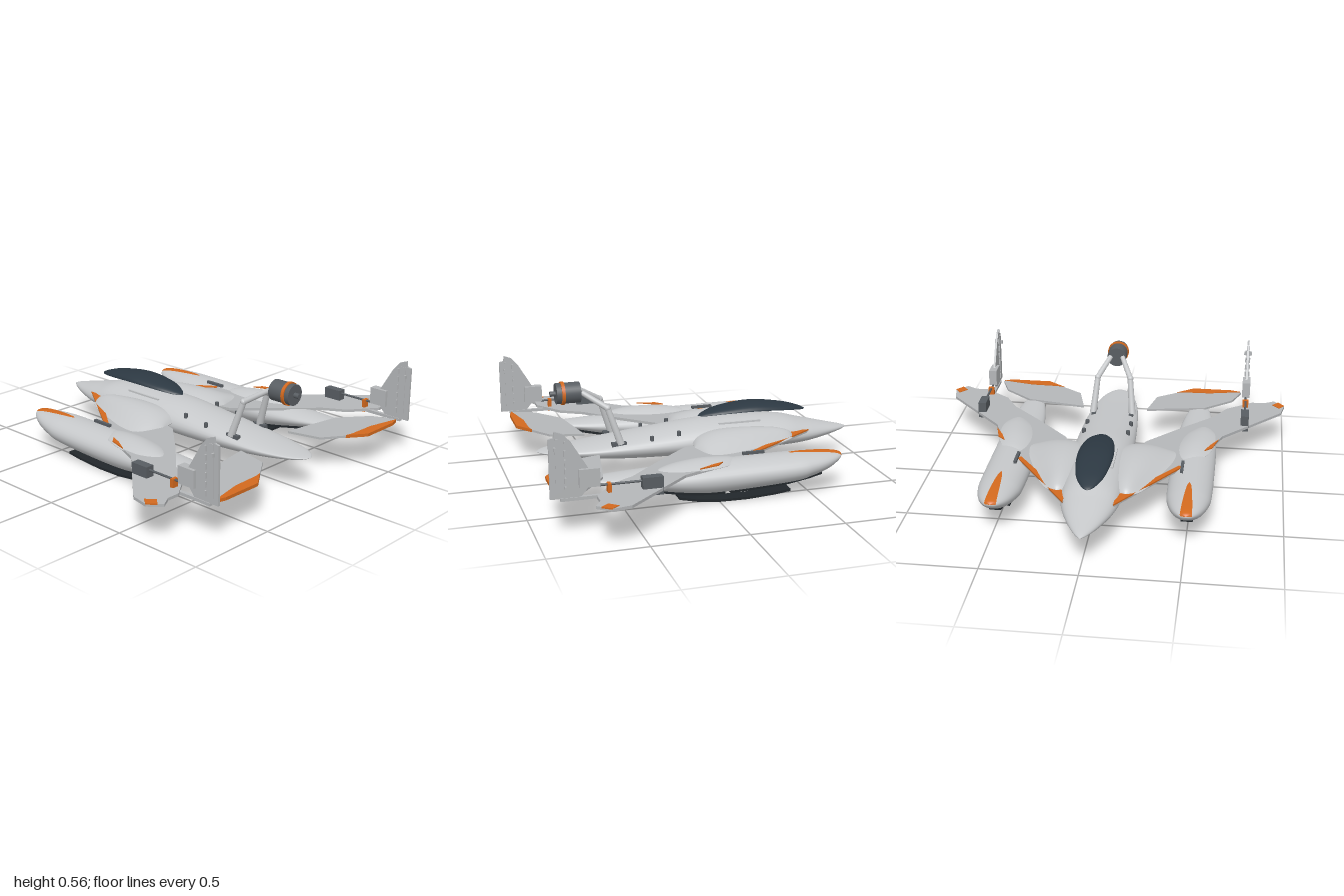
import * as THREE from 'three';

const mat = (name, color, side = THREE.FrontSide) => {
  const m = new THREE.MeshStandardMaterial({ color, side });
  m.name = name;
  return m;
};

// Catmull-Rom sampling of stations [x, halfWidth, top, bottom, mid, zCentre]
function sample(st, sub = 5) {
  const rows = [], last = st.length - 1;
  for (let i = 0; i < last; i++) {
    const p = [st[Math.max(i - 1, 0)], st[i], st[i + 1], st[Math.min(i + 2, last)]];
    for (let k = 0; k < sub; k++) {
      const t = k / sub;
      rows.push(p[0].map((_, c) => 0.5 * (2 * p[1][c] + (p[2][c] - p[0][c]) * t
        + (2 * p[0][c] - 5 * p[1][c] + 4 * p[2][c] - p[3][c]) * t * t
        + (3 * p[1][c] - p[0][c] - 3 * p[2][c] + p[3][c]) * t * t * t)));
    }
  }
  rows.push(st[last]);
  return rows;
}

function grid(pos, rows, cols, closed) {
  const idx = [];
  for (let i = 0; i < rows - 1; i++) {
    for (let j = 0; j < (closed ? cols : cols - 1); j++) {
      const a = i * cols + j, b = i * cols + (j + 1) % cols;
      idx.push(a, a + cols, b, b, a + cols, b + cols);
    }
  }
  const g = new THREE.BufferGeometry();
  g.setAttribute('position', new THREE.Float32BufferAttribute(pos, 3));
  g.setIndex(idx);
  g.computeVertexNormals();
  return g;
}

// Closed body along x; power shapes the upper half (1 = ellipse)
function loft(st, side = 1, power = 1, n = 32) {
  const rows = sample(st), pos = [];
  for (const [x, w, top, bot, mid, zc] of rows) {
    for (let j = 0; j < n; j++) {
      const a = j / n * Math.PI * 2, s = Math.sin(a);
      const y = s > 0 ? mid + (top - mid) * s ** power : mid + (mid - bot) * s;
      pos.push(x, y, zc * side + Math.max(w, 0) * Math.cos(a));
    }
  }
  return grid(pos, rows.length, n, true);
}

// Painted patch lying on top of a loft, between two x values
function topPatch(st, side, x0, x1, width) {
  const rows = sample(st, 10).filter(r => r[0] >= x0 && r[0] <= x1), pos = [], n = 9;
  for (const [x, w, top, , mid, zc] of rows) {
    const hw = Math.min(w, width * Math.sqrt(Math.max(0, 1 - (x - x0) / (x1 - x0))));
    for (let j = 0; j < n; j++) {
      const dz = hw * (1 - 2 * j / (n - 1));
      const u = w > 0 ? dz / w : 0;
      pos.push(x, mid + (top - mid) * Math.sqrt(Math.max(0, 1 - u * u)) + 0.003, zc * side + dz);
    }
  }
  return grid(pos, rows.length, n, false);
}

// Horizontal plate from [x, z] points; upright plate from [x, y] points
function flat(pts, side, y, thick) {
  const s = new THREE.Shape(pts.map(([x, z]) => new THREE.Vector2(x, -z * side)));
  return new THREE.ExtrudeGeometry(s, { depth: thick, bevelEnabled: false }).rotateX(-Math.PI / 2).translate(0, y, 0);
}
function upright(pts, z, thick) {
  const s = new THREE.Shape(pts.map(p => new THREE.Vector2(...p)));
  return new THREE.ExtrudeGeometry(s, { depth: thick, bevelEnabled: false }).translate(0, 0, z - thick / 2);
}
const box = (x0, x1, y0, y1, z, d) =>
  new THREE.BoxGeometry(x1 - x0, y1 - y0, d).translate((x0 + x1) / 2, (y0 + y1) / 2, z);
function rod(a, b, r, r2 = r, n = 20) {
  const A = new THREE.Vector3(...a), B = new THREE.Vector3(...b), d = B.clone().sub(A);
  const q = new THREE.Quaternion().setFromUnitVectors(new THREE.Vector3(0, 1, 0), d.clone().normalize());
  return new THREE.CylinderGeometry(r2, r, d.length(), n).applyQuaternion(q).translate(...A.add(B).multiplyScalar(0.5).toArray());
}

const FUSELAGE = [
  [-0.94, 0, 0.172, 0.172, 0.172, 0], [-0.9, 0.033, 0.187, 0.158, 0.172, 0], [-0.8, 0.084, 0.21, 0.138, 0.174, 0],
  [-0.65, 0.138, 0.247, 0.118, 0.178, 0], [-0.48, 0.162, 0.285, 0.11, 0.185, 0], [-0.1, 0.168, 0.295, 0.108, 0.19, 0],
  [0.15, 0.163, 0.272, 0.11, 0.19, 0], [0.4, 0.15, 0.242, 0.12, 0.19, 0], [0.6, 0.128, 0.218, 0.14, 0.188, 0],
  [0.75, 0.09, 0.203, 0.162, 0.188, 0], [0.83, 0.046, 0.195, 0.178, 0.188, 0], [0.86, 0, 0.188, 0.188, 0.188, 0]];
const POD = [
  [-0.69, 0, 0.185, 0.185, 0.185, 0.5], [-0.67, 0.038, 0.2, 0.16, 0.18, 0.5], [-0.6, 0.078, 0.21, 0.118, 0.168, 0.5],
  [-0.5, 0.106, 0.217, 0.088, 0.155, 0.5], [-0.38, 0.119, 0.22, 0.068, 0.145, 0.5], [0, 0.121, 0.217, 0.052, 0.14, 0.5],
  [0.2, 0.117, 0.212, 0.07, 0.145, 0.5], [0.4, 0.1, 0.204, 0.11, 0.16, 0.5], [0.55, 0.076, 0.198, 0.145, 0.172, 0.5],
  [0.66, 0.046, 0.192, 0.168, 0.18, 0.5], [0.72, 0, 0.182, 0.182, 0.182, 0.5]];
const SHOULDER = [
  [-0.54, 0, 0.21, 0.21, 0.21, 0.18], [-0.51, 0.06, 0.238, 0.2, 0.208, 0.18], [-0.42, 0.115, 0.262, 0.19, 0.206, 0.18],
  [-0.25, 0.185, 0.277, 0.185, 0.205, 0.19], [-0.1, 0.222, 0.272, 0.185, 0.205, 0.2], [0, 0.19, 0.245, 0.19, 0.205, 0.22],
  [0.05, 0, 0.208, 0.208, 0.208, 0.25]];
const FAIRING = [
  [-0.12, 0, 0.208, 0.208, 0.208, 0.46], [-0.05, 0.07, 0.225, 0.2, 0.206, 0.49], [0.08, 0.098, 0.236, 0.195, 0.206, 0.51],
  [0.22, 0.088, 0.23, 0.198, 0.206, 0.53], [0.31, 0.045, 0.216, 0.2, 0.206, 0.54], [0.34, 0, 0.208, 0.208, 0.208, 0.54]];
const CANOPY = [
  [-0.68, 0, 0.3, 0.3, 0.3, 0], [-0.65, 0.034, 0.317, 0.304, 0.304, 0], [-0.55, 0.076, 0.346, 0.319, 0.319, 0],
  [-0.36, 0.096, 0.37, 0.333, 0.333, 0], [-0.18, 0.078, 0.353, 0.327, 0.327, 0], [-0.08, 0.038, 0.327, 0.313, 0.313, 0],
  [-0.045, 0, 0.308, 0.308, 0.308, 0]];
const WING = [[-0.65, 0.13], [-0.2, 0.44], [0, 0.56], [0.22, 0.65], [0.58, 0.98], [0.68, 1], [0.745, 0.94], [0.71, 0.88],
  [0.71, 0.81], [0.6, 0.66], [0.48, 0.59], [0.3, 0.41], [0.1, 0.225], [0, 0.2], [0, 0.08], [-0.6, 0.08]];
const TAILPLANE = [[0.555, 0.19], [0.615, 0.53], [0.745, 0.69], [0.87, 0.74], [0.89, 0.68], [0.89, 0.45], [0.82, 0.35], [0.74, 0.235]];
const FIN = [[0.78, 0.2], [0.74, 0.25], [0.74, 0.34], [0.82, 0.475], [0.86, 0.52], [0.9, 0.535], [0.905, 0.505], [0.93, 0.5], [0.93, 0.2]];

// Curved strip following points [x, y] of its upper edge
function strip(pts, z, thick, width) {
  return upright([...pts, ...pts.slice().reverse().map(([x, y]) => [x, y - thick])], z, width);
}

export function createModel() {
  const hull = mat('hull grey', 0xc6c8ca), panel = mat('panel grey', 0xb4b6b8);
  const dark = mat('machinery grey', 0x585d62), glass = mat('canopy slate', 0x2c3842, THREE.DoubleSide);
  const skid = mat('skid black', 0x22272b), orange = mat('marking orange', 0xd2691e);
  const model = new THREE.Group();
  const add = (name, geo, m) => {
    const mesh = new THREE.Mesh(geo, m);
    mesh.name = name;
    model.add(mesh);
  };

  add('fuselage', loft(FUSELAGE), hull);
  add('canopy', loft(CANOPY), glass);

  // Engine on its raised pylon
  add('engine', rod([0.615, 0.5, 0], [0.745, 0.5, 0], 0.056, 0.056, 32), dark);
  add('engineRing', rod([0.7, 0.5, 0], [0.718, 0.5, 0], 0.062, 0.062, 32), orange);
  add('engineNozzle', rod([0.745, 0.5, 0], [0.775, 0.5, 0], 0.014), dark);

  for (const s of [1, -1]) {
    add('pod', loft(POD, s), hull);
    add('podNoseMarking', topPatch(POD, s, -0.69, -0.38, 0.032), orange);
    add('shoulder', loft(SHOULDER, s, 3), hull);
    add('podFairing', loft(FAIRING, s, 2), hull);

    // Wing with leading edge and tip markings
    add('wing', flat(WING, s, 0.195, 0.015), panel);
    add('leadingEdgeMarking', flat([[-0.655, 0.13], [-0.19, 0.45], [-0.18, 0.43], [-0.5, 0.19], [-0.55, 0.13]], s, 0.206, 0.008), orange);
    add('wingSideMarking', flat([[-0.005, 0.56], [0.03, 0.6], [0.14, 0.63], [0.06, 0.585]], s, 0.222, 0.006), orange);
    add('wingTipMarking', flat([[0.64, 0.97], [0.68, 1], [0.725, 0.965], [0.685, 0.93]], s, 0.206, 0.007), orange);
    add('wingHinge', box(-0.27, -0.15, 0.215, 0.23, s * 0.45, 0.016), dark);

    // Landing skids under each pod
    add('frontKeelStrip', strip([[-0.57, 0.106], [-0.5, 0.089], [-0.38, 0.069], [-0.2, 0.058], [-0.06, 0.053]], s * 0.5, 0.013, 0.062), skid);
    add('rearKeelStrip', strip([[-0.03, 0.053], [0.1, 0.058], [0.2, 0.07], [0.4, 0.11], [0.58, 0.152]], s * 0.5, 0.013, 0.062), skid);
    add('skid', strip([[-0.39, 0.033], [-0.3, 0.022], [-0.15, 0.013], [0, 0.015], [0.12, 0.028], [0.22, 0.05]], s * 0.5, 0.013, 0.08), skid);

    // Tailplane
    add('tailplane', flat(TAILPLANE, s, 0.19, 0.012), panel);
    add('tailplaneMarking', flat([[0.82, 0.35], [0.83, 0.39], [0.835, 0.55], [0.876, 0.735], [0.893, 0.68], [0.893, 0.45]], s, 0.188, 0.017), orange);

    // Fin with control linkage
    const z = s * 0.77;
    add('fin', upright(FIN, z, 0.012), panel);
    add('finBox', box(0.688, 0.79, 0.25, 0.342, z, 0.046), panel);
    add('rudderPlate', box(0.872, 0.9, 0.23, 0.5, z, 0.018), panel);
    for (let i = 0; i < 6; i++) add('rudderHinge', box(0.85, 0.858, 0.23 + i * 0.045, 0.26 + i * 0.045, z, 0.03), panel);
    add('finTopRib', box(0.898, 0.908, 0.44, 0.46, z, 0.046), panel);
    add('actuator', box(0.375, 0.478, 0.175, 0.268, z, 0.046), dark);
    add('actuatorRod', rod([0.47, 0.248, z], [0.7, 0.248, z], 0.006), dark);
    add('rodClamp', box(0.632, 0.65, 0.185, 0.255, z, 0.034), orange);
    add('finFoot', box(0.63, 0.88, 0.186, 0.202, z, 0.02), panel);

    // Pylon arms
    const base = [0.42, 0.225, s * 0.115], knee = [0.485, 0.425, s * 0.095], head = [0.61, 0.505, s * 0.035];
    add('pylonLeg', rod(base, knee, 0.02, 0.016), hull);
    add('pylonArm', rod(knee, head, 0.016, 0.014), hull);
    add('pylonKnee', new THREE.SphereGeometry(0.018, 16, 12).translate(...knee), hull);
    add('pylonFoot', box(0.39, 0.47, 0.21, 0.235, s * 0.11, 0.025), dark);

    // Deck fittings
    for (const [x, y] of [[0.1, 0.245], [0.25, 0.23]]) add('deckStud', rod([x, y, s * 0.125], [x, y + 0.025, s * 0.125], 0.011), dark);
    add('canopyRail', box(-0.38, -0.14, 0.275, 0.285, s * 0.09, 0.012), hull);
  }
  return model;
}
